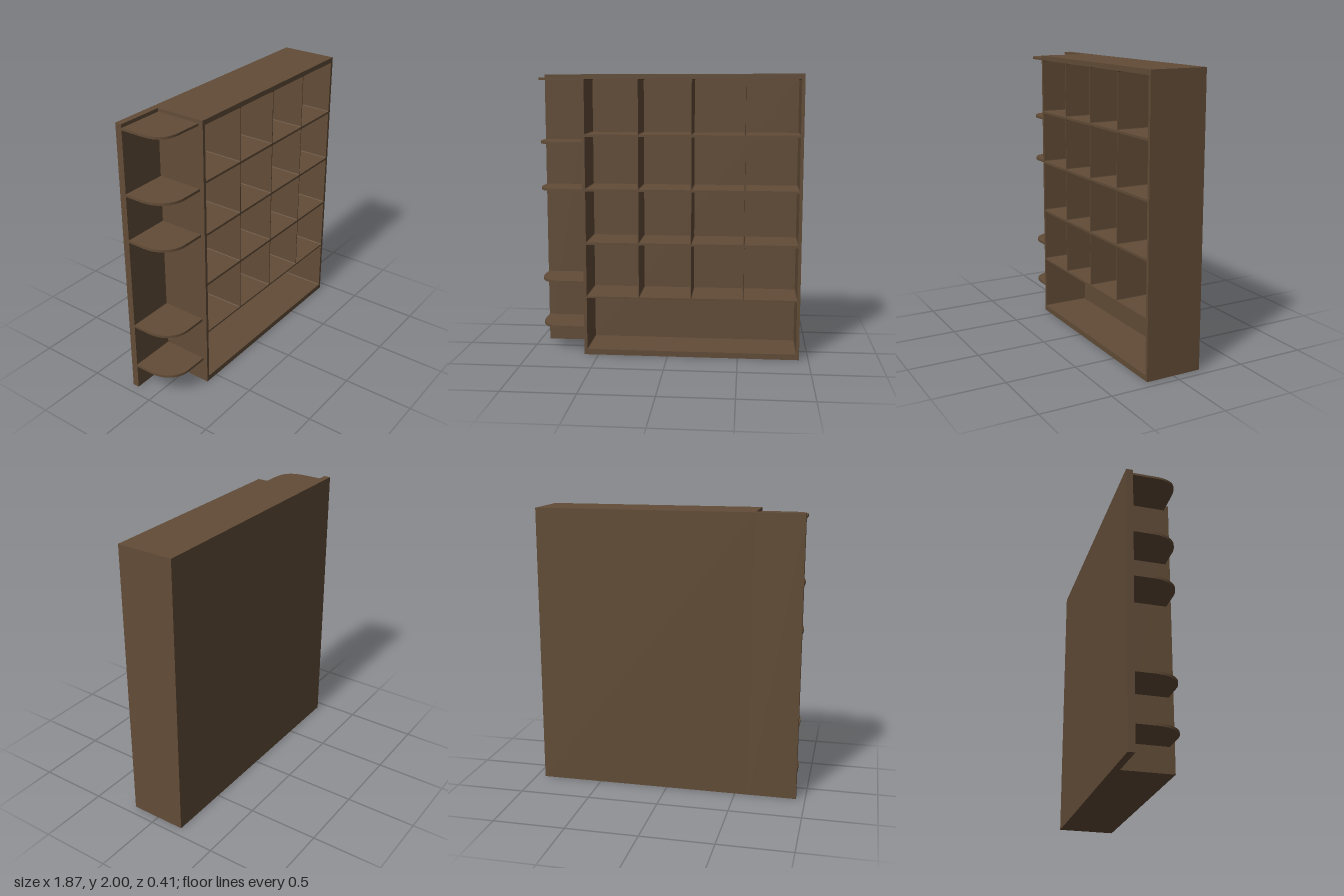
import * as THREE from 'three';

const wood = new THREE.MeshStandardMaterial({ color: 0x624c37 });
wood.name = 'brown wood';

// Rectangle path with slightly eased corners
function roundedRect(path, x0, y0, x1, y1, r) {
  path.moveTo(x0 + r, y0);
  path.lineTo(x1 - r, y0);
  path.quadraticCurveTo(x1, y0, x1, y0 + r);
  path.lineTo(x1, y1 - r);
  path.quadraticCurveTo(x1, y1, x1 - r, y1);
  path.lineTo(x0 + r, y1);
  path.quadraticCurveTo(x0, y1, x0, y1 - r);
  path.lineTo(x0, y0 + r);
  path.quadraticCurveTo(x0, y0, x0 + r, y0);
  return path;
}

// Shelf outline: square at the cabinet and back panel, curved at the outer front corner
function shelfGeometry(thickness, radiusX, radiusZ, k) {
  const x0 = -0.935, x1 = -0.6, back = -0.155, front = 0.17;
  const s = new THREE.Shape();
  s.moveTo(x1, -back);
  s.lineTo(x0, -back);
  s.lineTo(x0, -(front - radiusZ));
  s.bezierCurveTo(x0, -(front - radiusZ * (1 - k)), x0 + radiusX * (1 - k), -front, x0 + radiusX, -front);
  s.lineTo(x1, -front);
  s.closePath();
  const g = new THREE.ExtrudeGeometry(s, { depth: thickness, bevelEnabled: false, curveSegments: 16 });
  return g.rotateX(-Math.PI / 2);
}

export function createModel() {
  const group = new THREE.Group();
  const add = (name, geometry, x = 0, y = 0, z = 0) => {
    const mesh = new THREE.Mesh(geometry, wood);
    mesh.name = name;
    mesh.position.set(x, y, z);
    group.add(mesh);
  };

  // Cabinet frame with four rows of cubbies over one wide compartment
  const innerBack = -0.14;
  const frame = new THREE.Shape();
  frame.moveTo(-0.6, 0);
  frame.lineTo(0.935, 0);
  frame.lineTo(0.935, 2);
  frame.lineTo(-0.6, 2);
  frame.closePath();
  const columns = [[-0.579, -0.21], [-0.203, 0.161], [0.168, 0.532], [0.538, 0.913]];
  const rows = [[0.43, 0.805], [0.821, 1.186], [1.202, 1.568], [1.584, 1.965]];
  for (const [y0, y1] of rows) {
    for (const [x0, x1] of columns) {
      frame.holes.push(roundedRect(new THREE.Path(), x0, y0, x1, y1, 0.008));
    }
  }
  frame.holes.push(roundedRect(new THREE.Path(), -0.579, 0.04, 0.913, 0.418, 0.008));
  add('cabinetFrame', new THREE.ExtrudeGeometry(frame, {
    depth: 0.203 - innerBack, bevelEnabled: false, curveSegments: 3,
  }), 0, 0, innerBack);

  // Back of the cabinet, and the thinner panel behind the side shelves
  const cabinetDepth = innerBack + 0.203;
  add('cabinetBack', new THREE.BoxGeometry(1.535, 2, cabinetDepth), 0.1675, 1, -0.203 + cabinetDepth / 2);
  add('sideBackPanel', new THREE.BoxGeometry(0.335, 2, 0.048), -0.7675, 1, -0.179);

  // Open side shelves with a curved outer corner
  add('topSideShelf', shelfGeometry(0.016, 0.165, 0.17, 0.72), 0, 1.96, 0);
  const lower = shelfGeometry(0.018, 0.18, 0.2, 0.6);
  for (const y of [0.178, 0.513, 1.178, 1.511]) add('sideShelf', lower, 0, y, 0);

  return group;
}
